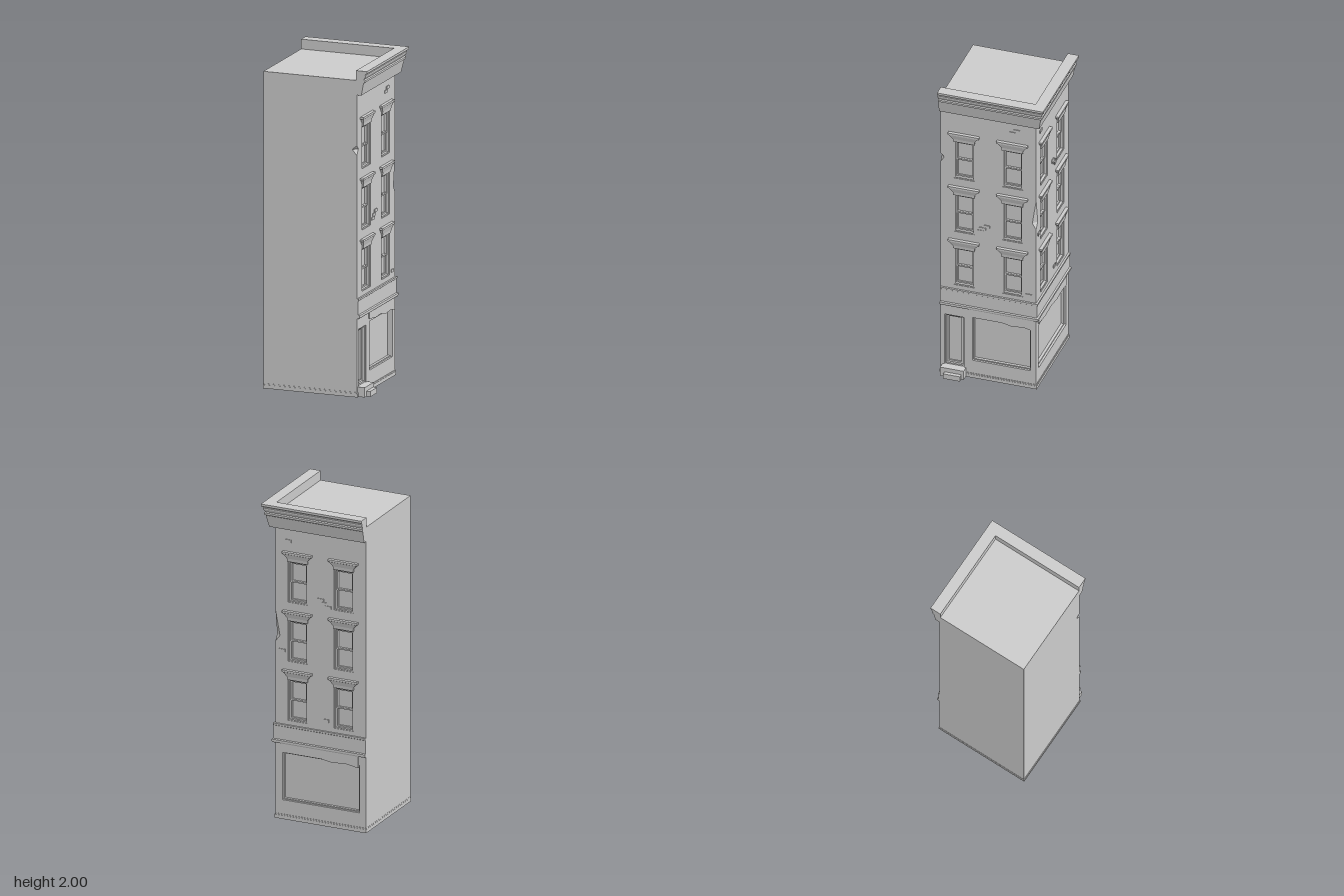
import * as THREE from 'three';

const mat = new THREE.MeshStandardMaterial({ color: 0xcccccc, flatShading: true });
const HALF = 0.3; // half width of a street facade
const D = 0.03; // depth of the facade walls
const FLOORS = [0.63, 1.005, 1.38]; // sill heights
const COLUMNS = [-0.152, 0.152];
const WIN_W = 0.128, WIN_H = 0.26;

function add(parent, name, geometry, x = 0, y = 0, z = 0) {
  const mesh = new THREE.Mesh(geometry, mat);
  mesh.name = name;
  mesh.position.set(x, y, z);
  parent.add(mesh);
  return mesh;
}

// box given by its two corners
function block(parent, name, x0, x1, y0, y1, z0, z1) {
  return add(parent, name, new THREE.BoxGeometry(x1 - x0, y1 - y0, z1 - z0),
    (x0 + x1) / 2, (y0 + y1) / 2, (z0 + z1) / 2);
}

function rectPath(x0, x1, y0, y1) {
  return new THREE.Path([[x0, y0], [x0, y1], [x1, y1], [x1, y0]].map(p => new THREE.Vector2(...p)));
}

// rectangular frame with a hole, from z0 to z1
function frame(parent, name, x0, x1, y0, y1, t, z0, z1) {
  const s = new THREE.Shape([[x0, y0], [x1, y0], [x1, y1], [x0, y1]].map(p => new THREE.Vector2(...p)));
  s.holes.push(rectPath(x0 + t, x1 - t, y0 + t, y1 - t));
  add(parent, name, new THREE.ExtrudeGeometry(s, { depth: z1 - z0, bevelEnabled: false }), 0, 0, z0);
}

// moulding profile [offset, height] mitred around the street corner
function cornerMoulding(parent, name, profile) {
  const n = profile.length, pos = [], idx = [];
  const stations = [
    (o, y) => [0.265 + o, y, 0.33],
    (o, y) => [0.265 + o, y, -0.27 - o],
    (o, y) => [-0.335, y, -0.27 - o],
  ];
  for (const st of stations) for (const [o, y] of profile) pos.push(...st(o, y));
  for (let s = 0; s < 2; s++) for (let i = 0; i < n; i++) {
    const a = s * n + i, b = s * n + (i + 1) % n;
    idx.push(a, a + n, b, b, a + n, b + n);
  }
  const caps = THREE.ShapeUtils.triangulateShape(profile.map(p => new THREE.Vector2(...p)), []);
  for (const [a, b, c] of caps) idx.push(a, b, c, 2 * n + a, 2 * n + c, 2 * n + b);
  let g = new THREE.BufferGeometry();
  g.setAttribute('position', new THREE.Float32BufferAttribute(pos, 3));
  g.setIndex(idx);
  g = g.toNonIndexed();
  g.computeVertexNormals();
  add(parent, name, g);
}

// flared window hood: levels of [height, half width, projection]
function hoodGeometry() {
  const levels = [[0, 0.066, 0.008], [0.02, 0.068, 0.01], [0.048, 0.09, 0.018], [0.05, 0.097, 0.021], [0.062, 0.097, 0.021]];
  const g = new THREE.BoxGeometry(1, 1, 1, 1, levels.length - 1, 1);
  const p = g.attributes.position;
  for (let i = 0; i < p.count; i++) {
    const [y, w, d] = levels[Math.round((p.getY(i) + 0.5) * (levels.length - 1))];
    p.setXYZ(i, Math.sign(p.getX(i)) * w, y, p.getZ(i) > 0 ? d : -0.004);
  }
  g.computeVertexNormals();
  return g;
}

function addWindow(parent, cx, y) {
  const w = new THREE.Group();
  w.name = 'window';
  w.position.set(cx, y, 0);
  parent.add(w);
  const h = WIN_W / 2, mid = WIN_H / 2;
  frame(w, 'windowCasing', -h, h, 0, WIN_H, 0.008, -D, -0.004);
  frame(w, 'upperSash', -h + 0.008, h - 0.008, mid - 0.005, WIN_H - 0.008, 0.009, -D, -0.014);
  frame(w, 'lowerSash', -h + 0.008, h - 0.008, 0.008, mid + 0.005, 0.009, -D, -0.02);
  add(w, 'windowHood', hoodGeometry(), 0, WIN_H, 0);
}

// wall with openings; chips are [side, low, tip, high] breaks in its vertical edges
function addWall(parent, left, openings, chips) {
  const edge = side => chips.filter(c => c[0] === side)
    .flatMap(([s, lo, tip, hi]) => [[s * HALF, lo], [s * (HALF - 0.024), tip], [s * HALF, hi]]);
  const pts = [[left, 0], [HALF, 0], ...edge(1), [HALF, 1.94], [left, 1.94], ...edge(-1).reverse()];
  const shape = new THREE.Shape(pts.map(p => new THREE.Vector2(...p)));
  shape.holes = openings.map(o => rectPath(...o));
  const g = new THREE.ExtrudeGeometry(shape, { depth: D, bevelEnabled: false });
  g.translate(0, 0, -D);
  // taper each chip to a point at the back of the wall
  const p = g.attributes.position;
  for (let i = 0; i < p.count; i++) for (const [s, lo, tip, hi] of chips) {
    const y = p.getY(i);
    if (p.getZ(i) < -D / 2 && s * p.getX(i) > 0.27 && y > lo - 0.001 && y < hi + 0.001) p.setXY(i, s * HALF, tip);
  }
  g.computeVertexNormals();
  add(parent, 'facadeWall', g);
}

// one street side: wall, windows, shop window, canopy and loose bricks
function facade(name, { left, shop, door, chips, canopy, bricks }) {
  const f = new THREE.Group();
  f.name = name;
  const openings = [[...shop, 0.12, 0.42]];
  if (door) openings.push([...door, 0.06, 0.41]);
  for (const y of FLOORS) for (const x of COLUMNS) {
    openings.push([x - WIN_W / 2, x + WIN_W / 2, y, y + WIN_H]);
    addWindow(f, x, y);
  }
  addWall(f, left, openings, chips);
  frame(f, 'shopWindowFrame', ...shop, 0.12, 0.42, 0.007, -D, -0.013);
  if (door) {
    frame(f, 'doorFrame', ...door, 0.06, 0.41, 0.009, -D, -0.008);
    frame(f, 'doorLeaf', door[0] + 0.009, door[1] - 0.009, 0.069, 0.401, 0.012, -D, -0.022);
  }
  // rolled canopy with an uneven hem
  const [a, b] = canopy, at = t => a + (b - a) * t;
  const hem = [[0, 0.44], [0.25, 0.425], [0.45, 0.43], [0.65, 0.412], [0.85, 0.418], [1, 0.405]];
  const s = new THREE.Shape([...hem.map(([t, y]) => [at(t), y]), [b, 0.485], [a, 0.485]].map(p => new THREE.Vector2(...p)));
  add(f, 'canopy', new THREE.ExtrudeGeometry(s, { depth: 0.012, bevelEnabled: false }), 0, 0, -0.005);
  for (const [x, y, pair] of bricks) {
    block(f, 'brick', x - 0.02, x + 0.02, y, y + 0.018, -0.002, 0.005);
    if (pair) block(f, 'brick', x - pair * 0.026 - 0.02, x - pair * 0.026 + 0.02, y - 0.02, y - 0.002, -0.002, 0.005);
  }
  return f;
}

export function createModel() {
  const model = new THREE.Group();
  model.name = 'cornerBuilding';

  block(model, 'buildingCore', -0.335, 0.265 - D, 0, 1.94, -0.27 + D, 0.33);
  block(model, 'plinth', -0.337, 0.27, 0, 0.022, -0.275, 0.334);
  block(model, 'plinthCap', -0.336, 0.268, 0.022, 0.03, -0.273, 0.332);

  // side with the door
  const side = facade('doorFacade', {
    left: -HALF, shop: [-0.1, 0.265], door: [-0.276, -0.154],
    chips: [[-1, 1.48, 1.515, 1.54], [1, 1.12, 1.16, 1.32]],
    canopy: [-0.12, 0.285],
    bricks: [[0.18, 1.78, 1], [-0.01, 1.07, 1], [-0.05, 1.03, 0], [0.255, 0.64, 0]],
  });
  side.position.set(0.265, 0, 0.03);
  side.rotation.y = Math.PI / 2;
  model.add(side);

  // side with the wide shop window
  const rear = facade('shopFacade', {
    left: -HALF + D, shop: [-0.255, 0.255], chips: [],
    canopy: [-0.265, 0.25],
    bricks: [[-0.215, 1.76, 0], [0, 1.42, -1], [0.05, 1.38, 0], [-0.255, 1.06, 0], [0.035, 0.66, 0]],
  });
  rear.position.set(-0.035, 0, -0.27);
  rear.rotation.y = Math.PI;
  model.add(rear);

  // sign board with ledge, then the roof cornice with parapet
  cornerMoulding(model, 'signBand', [[-0.01, 0.48], [0.012, 0.48], [0.017, 0.488], [0.017, 0.5], [0.008, 0.504],
    [0.008, 0.588], [0.012, 0.591], [0.012, 0.602], [-0.01, 0.602]]);
  cornerMoulding(model, 'cornice', [[-0.005, 1.85], [0.028, 1.85], [0.043, 1.925], [0.051, 1.93], [0.051, 1.942],
    [0.045, 1.948], [0.056, 1.966], [0.056, 1.974], [0.052, 1.978], [0.065, 1.986], [0.065, 2], [-0.005, 2]]);

  // door steps
  block(model, 'upperStep', 0.25, 0.31, 0, 0.06, 0.17, 0.317);
  block(model, 'lowerStep', 0.25, 0.335, 0, 0.033, 0.185, 0.29);
  return model;
}
